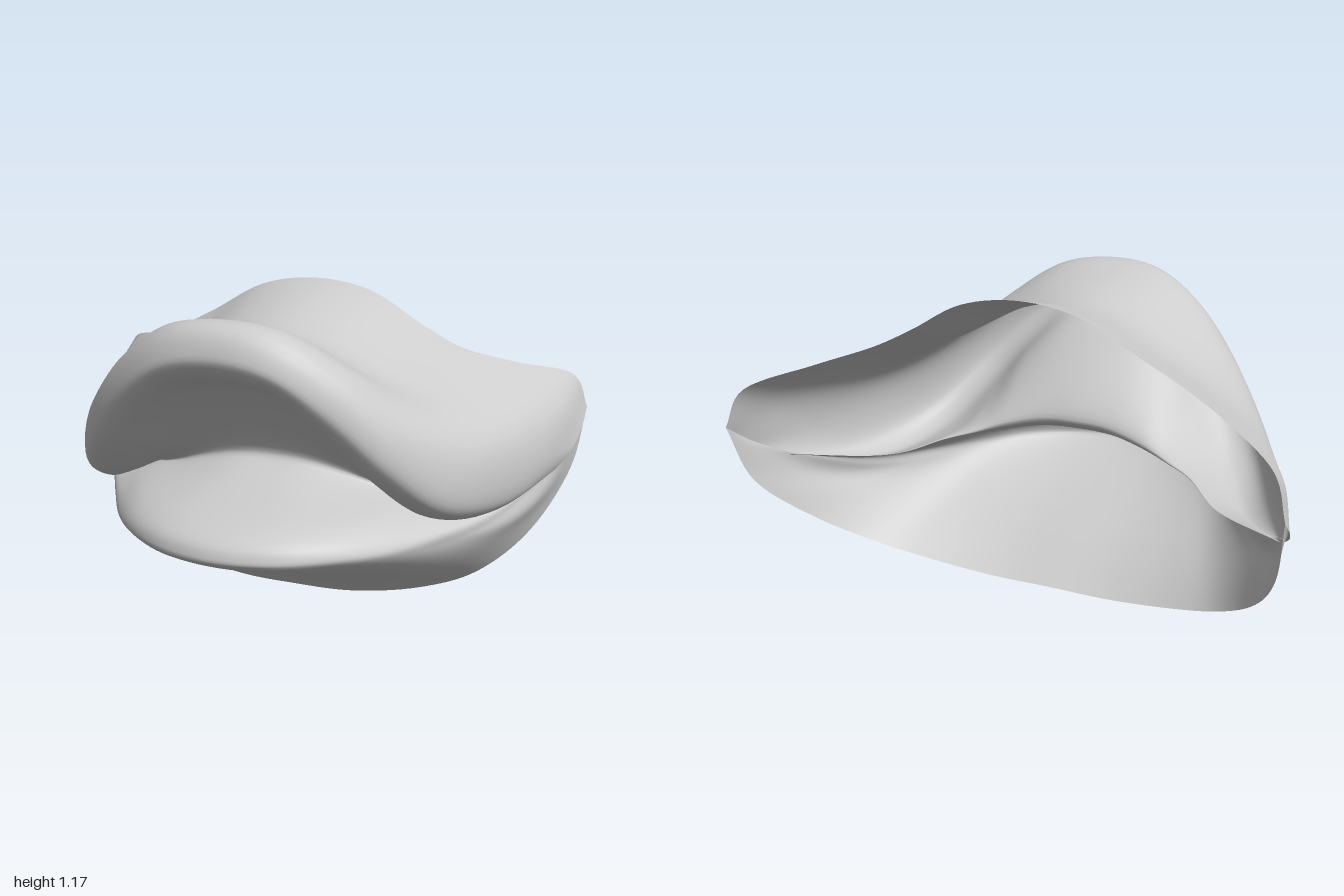
import * as THREE from 'three';

// Half rails (centre to corner), ordered from the upper back edge,
// over the upper lip, through the mouth, to the lower back edge.
// Upper and lower rails share their corner points, so the cheeks close.
const upperRails = [
  // back edge, bridge, lip crest, lip front, lip underside
  [[0, 1.165, -.32], [.22, 1.13, -.32], [.42, 1.02, -.31], [.58, .94, -.32], [.76, .88, -.425], [.945, .815, -.59], [1, .68, -.64]],
  [[0, 1.06, .15], [.2, 1.02, .14], [.41, .91, .1], [.59, .83, .03], [.77, .76, -.12], [.925, .7, -.36], [.997, .62, -.56]],
  [[0, 1.15, .53], [.2, 1.12, .51], [.39, 1, .46], [.56, .83, .37], [.73, .67, .16], [.88, .57, -.17], [.98, .555, -.47]],
  [[0, 1.055, .63], [.2, 1.015, .615], [.38, .885, .555], [.545, .7, .45], [.695, .525, .25], [.825, .455, -.07], [.94, .5, -.39]],
  [[0, .975, .585], [.19, .935, .565], [.345, .8, .505], [.49, .62, .4], [.62, .465, .22], [.75, .41, -.06], [.94, .5, -.39]],
];
const liningRails = [
  // palate, throat, seam
  [[0, .89, .4], [.16, .86, .39], [.3, .75, .34], [.42, .6, .27], [.54, .475, .14], [.69, .435, -.1], [.94, .5, -.39]],
  [[0, .645, .15], [.14, .635, .15], [.28, .59, .13], [.4, .53, .1], [.51, .485, .04], [.67, .45, -.14], [.94, .5, -.39]],
  [[0, .55, .19], [.15, .545, .18], [.29, .52, .15], [.41, .495, .1], [.51, .475, .04], [.66, .45, -.13], [.94, .5, -.39]],
];
const lowerRails = [
  // lip top, lip front, lip underside, chin, back edge
  [[0, .46, .545], [.18, .46, .515], [.325, .455, .43], [.45, .447, .3], [.56, .437, .13], [.7, .435, -.11], [.94, .5, -.39]],
  [[0, .39, .642], [.2, .39, .602], [.365, .39, .5], [.5, .385, .35], [.62, .385, .17], [.765, .41, -.08], [.94, .5, -.39]],
  [[0, .325, .585], [.2, .325, .55], [.37, .328, .455], [.52, .33, .315], [.65, .34, .125], [.8, .385, -.12], [.98, .555, -.47]],
  [[0, .17, .19], [.22, .17, .18], [.43, .185, .14], [.6, .21, .06], [.755, .29, -.08], [.895, .4, -.29], [.997, .62, -.56]],
  [[0, 0, -.09], [.25, .005, -.1], [.5, .045, -.14], [.7, .115, -.215], [.86, .25, -.365], [.965, .45, -.555], [1, .68, -.64]],
];

const smoothCurve = (points) => new THREE.CatmullRomCurve3(points, false, 'catmullrom', 0.5);

// Full side-to-side curve from a half rail
function mirroredRail(half) {
  const right = half.slice(1).reverse().map(([x, y, z]) => new THREE.Vector3(-x, y, z));
  return smoothCurve([...right, ...half.map((p) => new THREE.Vector3(...p))]);
}

// Smooth surface through all rails
function loft(rails, acrossSteps, alongSteps) {
  const positions = [], index = [];
  const sections = [];
  for (let i = 0; i <= acrossSteps; i++) {
    sections.push(smoothCurve(rails.map((r) => r.getPoint(i / acrossSteps))));
  }
  const row = acrossSteps + 1;
  for (let j = 0; j <= alongSteps; j++) {
    for (let i = 0; i < row; i++) {
      const p = sections[i].getPoint(j / alongSteps);
      positions.push(p.x, p.y, p.z);
      if (i < acrossSteps && j < alongSteps) {
        const a = j * row + i;
        index.push(a, a + row, a + 1, a + 1, a + row, a + row + 1);
      }
    }
  }
  const geometry = new THREE.BufferGeometry();
  geometry.setAttribute('position', new THREE.Float32BufferAttribute(positions, 3));
  geometry.setIndex(index);
  geometry.computeVertexNormals();
  return geometry;
}

export function createModel() {
  const group = new THREE.Group();
  group.name = 'muzzle';
  const rails = [...upperRails, ...liningRails, ...lowerRails].map(mirroredRail);
  const material = new THREE.MeshStandardMaterial({ color: 0xcccccc, side: THREE.DoubleSide });
  // One continuous skin: upper lip, mouth lining and lower jaw
  const skin = new THREE.Mesh(loft(rails, 84, 72), material);
  skin.name = 'mouthSkin';
  group.add(skin);
  return group;
}
